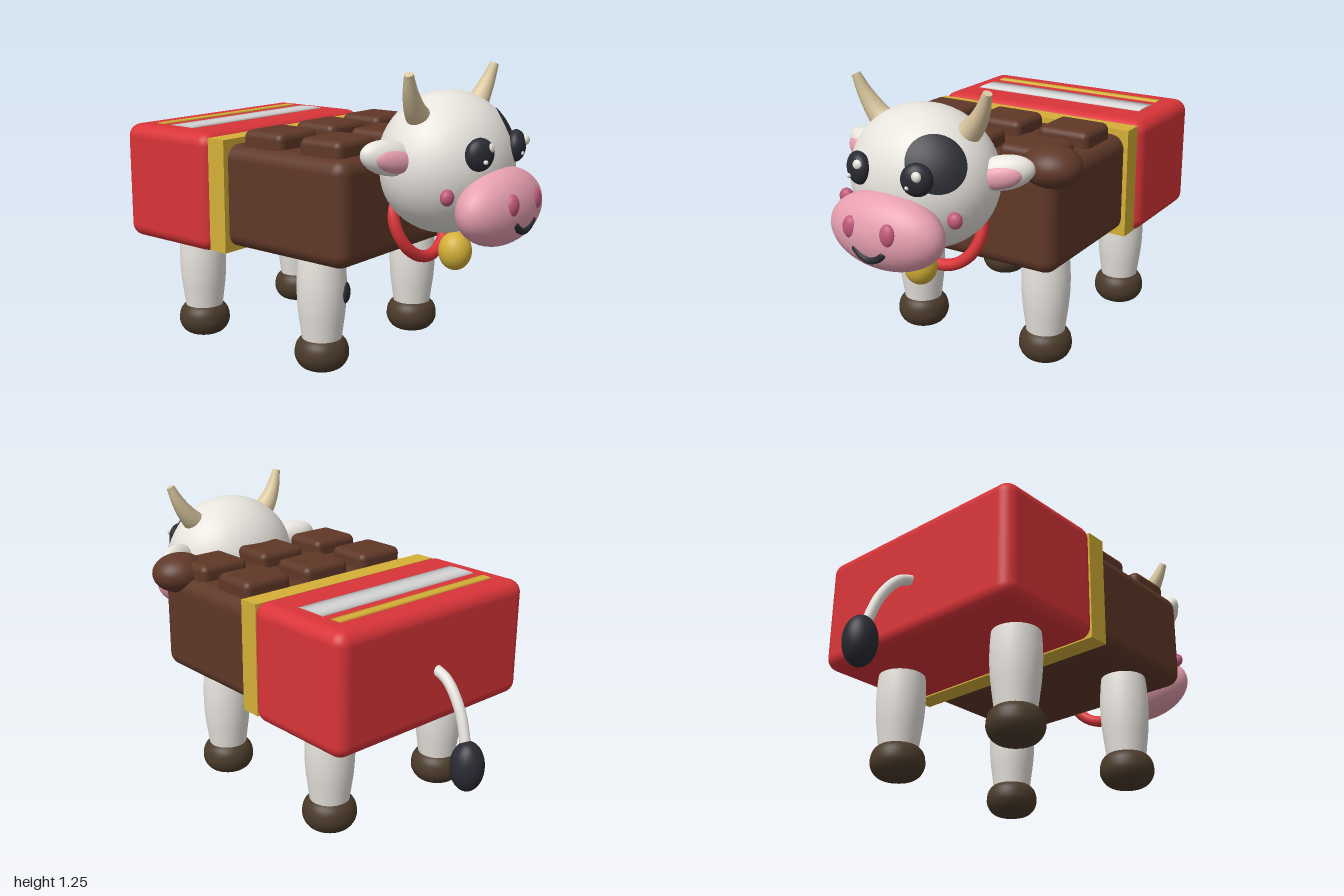
import * as THREE from 'three';
import { RoundedBoxGeometry } from 'three/addons/geometries/RoundedBoxGeometry.js';

const CX = -0.02; // the body's middle line

function paint(name, color) {
  const m = new THREE.MeshStandardMaterial({ color });
  m.name = name;
  return m;
}

export function createModel() {
  const white = paint('white', 0xe8e4de);
  const chocolate = paint('chocolate', 0x5f3828);
  const red = paint('red', 0xd93438);
  const gold = paint('gold', 0xd4af37);
  const dark = paint('dark', 0x2a2b33);
  const pink = paint('pink', 0xe8a0b0);
  const rose = paint('rose', 0xc0587a);
  const cream = paint('cream', 0xdcc9a0);
  const hoofBrown = paint('hoof brown', 0x4a3a2a);
  const silver = paint('silver', 0xd4d4d4);

  const model = new THREE.Group();
  model.name = 'chocolateCow';

  function add(name, geometry, material, x = 0, y = 0, z = 0, parent = model) {
    const mesh = new THREE.Mesh(geometry, material);
    mesh.name = name;
    mesh.position.set(x, y, z);
    parent.add(mesh);
    return mesh;
  }
  function ball(name, material, x, y, z, rx, ry = rx, rz = rx, parent = model) {
    const mesh = add(name, new THREE.SphereGeometry(1, 40, 28), material, x, y, z, parent);
    mesh.scale.set(rx, ry, rz);
    return mesh;
  }
  function block(name, material, x0, x1, y0, y1, z0, z1, r) {
    const w = x1 - x0, h = y1 - y0, d = z1 - z0;
    const geo = r ? new RoundedBoxGeometry(w, h, d, 5, r) : new THREE.BoxGeometry(w, h, d);
    return add(name, geo, material, (x0 + x1) / 2, (y0 + y1) / 2, (z0 + z1) / 2);
  }
  const curve = (...pts) => new THREE.CatmullRomCurve3(pts.map(p => new THREE.Vector3(...p)));

  // Chocolate bar body with its wrapper
  block('chocolateBody', chocolate, -0.50, 0.46, 0.49, 0.92, -0.40, 0.47, 0.06);
  block('foilEdge', gold, -0.525, 0.48, 0.47, 0.945, -0.22, -0.13);
  block('wrapper', red, -0.54, 0.50, 0.455, 0.96, -0.73, -0.215, 0.055);
  for (const x of [-0.34, CX, 0.30])
    for (const z of [0.018, 0.315])
      block('chocolateSquare', chocolate, x - 0.118, x + 0.118, 0.88, 0.985, z - 0.105, z + 0.105, 0.03);
  ball('chocolateLump', chocolate, 0.416, 0.925, 0.395, 0.122, 0.085, 0.11);

  // Gently domed foil bands on the wrapper's top, flattened but with round shading
  function band(name, material, z0, z1) {
    const geo = new THREE.CylinderGeometry(1, 1, 0.847, 24, 1, false, Math.PI, Math.PI);
    geo.rotateZ(Math.PI / 2);
    const p = geo.attributes.position;
    for (let i = 0; i < p.count; i++)
      p.setXYZ(i, p.getX(i), Math.abs(p.getY(i)) * 0.006, p.getZ(i) * (z1 - z0) / 2);
    const mesh = add(name, geo, material, CX, 0.9605, (z0 + z1) / 2);
    return mesh;
  }
  // half cylinders rebuilt as full ones so that the top half is always present
  function fullBand(name, material, z0, z1) {
    const mesh = band(name, material, z0, z1);
    const geo = new THREE.CylinderGeometry(1, 1, 0.847, 32);
    geo.rotateZ(Math.PI / 2);
    const p = geo.attributes.position;
    for (let i = 0; i < p.count; i++)
      p.setXYZ(i, p.getX(i), p.getY(i) * 0.0045, p.getZ(i) * (z1 - z0) / 2);
    mesh.geometry = geo;
  }
  fullBand('silverBand', silver, -0.53, -0.39);
  fullBand('goldBand', gold, -0.625, -0.57);

  // Legs and hooves
  const legProfile = [[0.08, 0.12], [0.088, 0.18], [0.099, 0.27], [0.103, 0.36], [0.099, 0.45], [0.09, 0.53]];
  const hoofProfile = [[0, 0.004], [0.06, 0.008], [0.092, 0.025], [0.11, 0.055], [0.113, 0.083],
    [0.106, 0.115], [0.088, 0.138], [0.06, 0.149], [0, 0.151]];
  const lathe = pts => new THREE.LatheGeometry(
    new THREE.SplineCurve(pts.map(p => new THREE.Vector2(...p))).getPoints(24).map(p => p.setX(Math.max(p.x, 0))), 36);
  for (const [end, z] of [['front', 0.235], ['back', -0.46]])
    for (const x of [CX - 0.322, CX + 0.322]) {
      add(end + 'Leg', lathe(legProfile), white, x, 0, z);
      add(end + 'Hoof', lathe(hoofProfile), hoofBrown, x, 0, z);
    }
  ball('legSpot', dark, -0.297, 0.338, 0.322, 0.035, 0.046, 0.02).rotation.y = 0.4;

  // Tail
  const tailPath = curve([CX, 0.70, -0.71], [CX + 0.005, 0.67, -0.785], [CX + 0.015, 0.57, -0.865], [0.01, 0.42, -0.92]);
  add('tail', new THREE.TubeGeometry(tailPath, 24, 0.022, 14), white);
  ball('tailTuft', dark, 0.013, 0.365, -0.93, 0.068, 0.104, 0.068);

  // Head and muzzle
  const HY = 0.875, HZ = 0.615;
  ball('head', white, CX, HY, HZ, 0.308, 0.285, 0.26);
  ball('muzzle', pink, CX, 0.728, 0.86, 0.253, 0.153, 0.125);

  // Eye patch: a cap lying just above the head's surface
  const cap = new THREE.SphereGeometry(1.012, 36, 10, 0, Math.PI * 2, 0, 0.4);
  cap.applyQuaternion(new THREE.Quaternion().setFromUnitVectors(
    new THREE.Vector3(0, 1, 0), new THREE.Vector3(0.6, 0.44, 0.67).normalize()));
  cap.scale(0.308, 0.285, 0.26);
  add('eyePatch', cap, dark, CX, HY, HZ);

  // Mouth
  const mouth = curve([-0.084, 0.68, 0.967], [-0.058, 0.658, 0.968], [CX, 0.646, 0.968], [0.018, 0.658, 0.968], [0.044, 0.68, 0.967]);
  add('mouth', new THREE.TubeGeometry(mouth, 24, 0.014, 12), dark);
  for (const x of [-0.084, 0.044]) ball('mouthCorner', dark, x, 0.68, 0.967, 0.014);

  // Horn: a tube narrowed towards its tip
  function horn(side) {
    const path = curve([CX + side * 0.15, 1.03, 0.615], [CX + side * 0.22, 1.09, 0.615],
      [CX + side * 0.272, 1.165, 0.625], [CX + side * 0.306, 1.243, 0.638]);
    const n = 20, sides = 18;
    const geo = new THREE.TubeGeometry(path, n, 1, sides);
    const p = geo.attributes.position, v = new THREE.Vector3();
    for (let i = 0; i < p.count; i++) {
      const t = Math.floor(i / (sides + 1)) / n, c = path.getPointAt(t);
      v.fromBufferAttribute(p, i).sub(c).multiplyScalar(0.06 - 0.042 * t).add(c);
      p.setXYZ(i, v.x, v.y, v.z);
    }
    add('horn', geo, cream);
    const tip = path.getPointAt(1);
    add('hornTip', new THREE.CircleGeometry(0.018, sides), cream, tip.x, tip.y, tip.z)
      .quaternion.setFromUnitVectors(new THREE.Vector3(0, 0, 1), path.getTangentAt(1));
  }

  // Mirrored features of the face
  for (const side of [-1, 1]) {
    horn(side);

    const ear = new THREE.Group();
    ear.name = 'ear';
    ear.position.set(CX + side * 0.325, 0.927, 0.565);
    ear.rotation.set(0, side * 0.4, side * 0.2);
    model.add(ear);
    ball('outerEar', white, 0, 0, 0, 0.122, 0.068, 0.055, ear);
    ball('innerEar', pink, -side * 0.01, -0.006, 0.03, 0.092, 0.047, 0.035, ear);

    const ex = CX + side * 0.135;
    ball('eye', dark, ex, 0.945, 0.845, 0.061, 0.064, 0.04).rotation.y = side * 0.4;
    ball('eyeGlint', white, ex + 0.022, 0.968, 0.877, 0.02, 0.02, 0.014);
    ball('smallGlint', white, ex - 0.017, 0.922, 0.883, 0.009);

    ball('nostril', rose, CX + side * 0.086, 0.757, 0.962, 0.034, 0.045, 0.025);
    ball('cheek', rose, CX + side * 0.256, 0.793, 0.785, 0.03, 0.032, 0.025);
  }

  // Collar and bell
  const collar = add('collar', new THREE.TorusGeometry(0.175, 0.025, 18, 60), red, CX, 0.64, 0.487);
  collar.rotation.x = -0.3;
  ball('bell', gold, CX, 0.515, 0.665, 0.067, 0.079, 0.068);

  return model;
}
